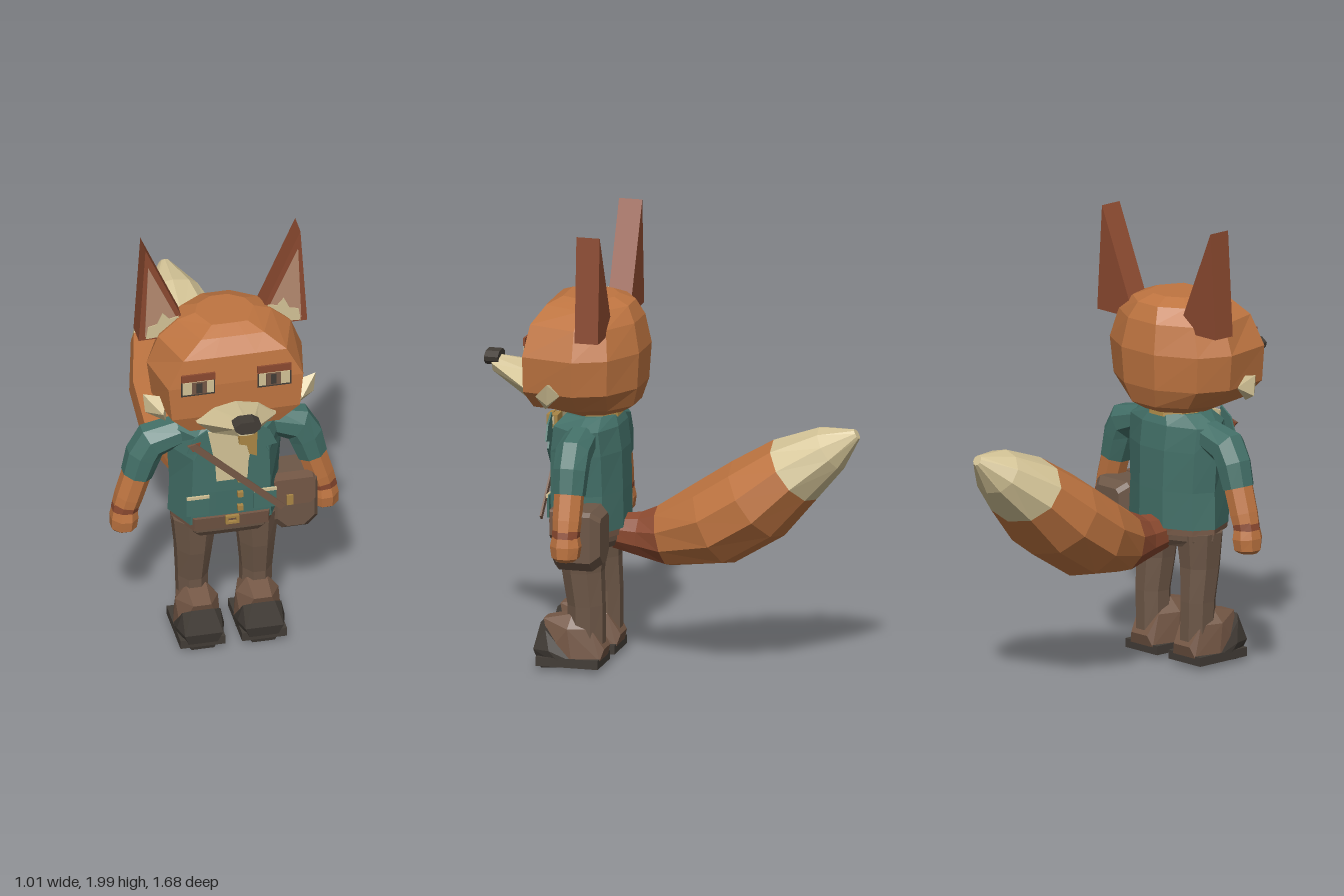
import * as THREE from 'three';
import { ConvexGeometry } from 'three/addons/geometries/ConvexGeometry.js';

const V = (x, y, z) => new THREE.Vector3(x, y, z);
const paint = (name, color) => Object.assign(new THREE.MeshStandardMaterial({ color }), { name });

// Closed flat-shaded skin through equal-sized rings of points, always facing outwards
function loft(rings) {
  const pos = [];
  let volume = 0;
  const tri = (a, b, c) => {
    pos.push([a, b, c]);
    volume += a.clone().sub(rings[0][0]).dot(b.clone().sub(rings[0][0]).cross(c.clone().sub(rings[0][0])));
  };
  const n = rings[0].length;
  for (let r = 0; r + 1 < rings.length; r++) {
    for (let i = 0; i < n; i++) {
      const j = (i + 1) % n, A = rings[r], B = rings[r + 1];
      tri(A[i], A[j], B[j]);
      tri(A[i], B[j], B[i]);
    }
  }
  const first = rings[0], last = rings[rings.length - 1];
  for (let i = 1; i + 1 < n; i++) {
    tri(first[0], first[i + 1], first[i]);
    tri(last[0], last[i], last[i + 1]);
  }
  const flat = pos.flatMap(([a, b, c]) => (volume < 0 ? [a, c, b] : [a, b, c]));
  const g = new THREE.BufferGeometry().setFromPoints(flat);
  g.computeVertexNormals();
  return g;
}

// Horizontal ring with a flat front: height, half width, front z, back z, half width of the front
function flatFrontRing([y, rx, zf, zb, fw]) {
  const zm = zb + (zf - zb) * 0.5;
  const half = [[fw * 0.4, zf], [fw, zf - 0.002], [rx, zm], [rx * 0.81, zb + (zf - zb) * 0.2], [rx * 0.3, zb]];
  return [...half.map(([x, z]) => V(x, y, z)), ...half.reverse().map(([x, z]) => V(-x, y, z))];
}

// Rings across a path of [x, y, z, radius along axis, radius across axis]
function pathRings(path, axis, sides) {
  const c = path.map((p) => V(p[0], p[1], p[2]));
  return path.map((p, k) => {
    const t = c[Math.min(k + 1, c.length - 1)].clone().sub(c[Math.max(k - 1, 0)]).normalize();
    const v = t.cross(axis).normalize();
    return Array.from({ length: sides }, (_, i) => {
      const a = ((i + 0.5) / sides) * Math.PI * 2;
      return c[k].clone().addScaledVector(axis, Math.cos(a) * p[3]).addScaledVector(v, Math.sin(a) * p[4]);
    });
  });
}

export function createModel() {
  const model = new THREE.Group();
  model.name = 'foxTraveller';
  const fur = paint('orange fur', 0xbf7541), rust = paint('rust fur', 0x8c4a30);
  const cream = paint('cream fur', 0xd3c396), teal = paint('teal jacket', 0x437068);
  const cloth = paint('brown trousers', 0x6d5747), leather = paint('leather', 0x755846);
  const dark = paint('dark boots and nose', 0x423c36), gold = paint('gold', 0xa98645);
  const earPink = paint('inner ear', 0xb58a70);

  const add = (name, geometry, material) => {
    const m = new THREE.Mesh(geometry, material);
    m.name = name;
    model.add(m);
    return m;
  };
  const hull = (name, mat, pts) => add(name, new ConvexGeometry(pts.map((p) => V(...p))), mat);
  const box = (name, mat, w, h, d, x, y, z) =>
    add(name, new THREE.BoxGeometry(w, h, d), mat).position.set(x, y, z);
  // Flat outline facing forwards
  const plate = (name, mat, pts, z, depth = 0.008) => {
    const shape = new THREE.Shape(pts.map(([x, y]) => new THREE.Vector2(x, y)));
    add(name, new THREE.ExtrudeGeometry(shape, { depth, bevelEnabled: false }), mat).position.z = z;
  };
  const stack = (name, mat, rows) => add(name, loft(rows.map(flatFrontRing)), mat);

  // Head
  stack('head', fur, [
    [1.15, 0.17, 0.52, 0.22, 0.09], [1.185, 0.24, 0.58, 0.165, 0.2], [1.27, 0.325, 0.605, 0.14, 0.285],
    [1.43, 0.345, 0.605, 0.13, 0.3], [1.56, 0.295, 0.588, 0.155, 0.23],
    [1.63, 0.21, 0.54, 0.19, 0.14], [1.66, 0.13, 0.48, 0.26, 0.08],
  ]);
  stack('neck', fur, [[1.08, 0.13, 0.45, 0.25, 0.08], [1.18, 0.13, 0.45, 0.25, 0.08]]);
  stack('neckerchiefCollar', gold, [[1.125, 0.145, 0.465, 0.24, 0.09], [1.15, 0.14, 0.46, 0.245, 0.09]]);

  // Muzzle and nose
  const muzzleRing = (z, w, top, mid, low) => [
    [0, top], [w * 0.55, top - (top - mid) * 0.25], [w, mid], [w * 0.62, low + (mid - low) * 0.08],
    [0, low], [-w * 0.62, low + (mid - low) * 0.08], [-w, mid], [-w * 0.55, top - (top - mid) * 0.25],
  ].map(([x, y]) => V(x, y, z));
  add('muzzle', loft([
    muzzleRing(0.56, 0.185, 1.325, 1.25, 1.165), muzzleRing(0.62, 0.175, 1.335, 1.25, 1.185),
    muzzleRing(0.81, 0.05, 1.358, 1.325, 1.285),
  ]), cream);
  hull('nose', dark, [0.78, 0.842].flatMap((z) => [-1, 1].flatMap((s) =>
    [[s * 0.03, 1.375, z], [s * 0.06, 1.355, z], [s * 0.055, 1.335, z], [s * 0.03, 1.315, z]])));

  for (const s of [1, -1]) {
    const side = s > 0 ? 'left' : 'right';
    const flip = (pts) => pts.map(([x, ...rest]) => [x * s, ...rest]);

    // Ear with inner panel and tuft
    plate(side + 'Ear', rust, flip([[0.375, 1.53], [0.345, 2], [0.14, 1.53]]), 0.24, 0.105);
    plate(side + 'InnerEar', earPink, flip([[0.348, 1.55], [0.334, 1.91], [0.175, 1.56]]), 0.345, 0.004);
    plate(side + 'EarTuft', cream,
      flip([[0.345, 1.54], [0.335, 1.6], [0.295, 1.61], [0.27, 1.665], [0.24, 1.63], [0.2, 1.64], [0.17, 1.55]]), 0.349, 0.004);

    // Cheek tuft
    hull(side + 'CheekTuft', cream, flip([[0.28, 1.31, 0.48], [0.385, 1.335, 0.47], [0.375, 1.24, 0.47],
      [0.29, 1.2, 0.5], [0.31, 1.26, 0.54], [0.31, 1.27, 0.43]]));

    // Eye and brow
    box(side + 'EyeRim', dark, 0.15, 0.085, 0.006, s * 0.17, 1.433, 0.607);
    box(side + 'EyeWhite', cream, 0.138, 0.062, 0.004, s * 0.17, 1.432, 0.612);
    box(side + 'Iris', leather, 0.066, 0.062, 0.003, s * 0.165, 1.432, 0.615);
    box(side + 'Pupil', dark, 0.026, 0.05, 0.003, s * 0.165, 1.432, 0.617);
    box(side + 'Brow', rust, 0.152, 0.035, 0.009, s * 0.17, 1.483, 0.609);

    // Arm: sleeve, forearm, wrist band, hand
    const zArm = 0.365, zAxis = V(0, 0, 1);
    const limb = (name, mat, pts) => add(side + name, loft(pathRings(flip(pts), zAxis, 8)), mat);
    limb('Sleeve', teal, [[0.2, 1.055, zArm, 0.075, 0.065], [0.325, 1.015, zArm, 0.08, 0.085],
      [0.36, 0.95, zArm, 0.078, 0.08], [0.39, 0.85, zArm, 0.072, 0.07]]);
    limb('Forearm', fur, [[0.388, 0.86, zArm, 0.066, 0.066], [0.425, 0.74, zArm, 0.064, 0.064],
      [0.44, 0.69, zArm, 0.06, 0.06]]);
    limb('WristBand', rust, [[0.437, 0.7, zArm, 0.062, 0.06], [0.445, 0.665, zArm, 0.06, 0.06]]);
    limb('Hand', fur, [[0.443, 0.675, zArm, 0.062, 0.058], [0.446, 0.635, zArm, 0.07, 0.064],
      [0.448, 0.585, zArm, 0.062, 0.06], [0.448, 0.57, zArm, 0.04, 0.045]]);

    // Trouser leg
    add(side + 'Leg', loft(pathRings(flip([[0.137, 0.61, 0.37, 0.105, 0.11], [0.14, 0.45, 0.37, 0.085, 0.095],
      [0.143, 0.3, 0.355, 0.072, 0.085], [0.14, 0.12, 0.355, 0.07, 0.085]]), V(1, 0, 0), 8)), cloth);

    // Boot: ankle, toe, sole
    const both = (y, z, w) => [[s * 0.135 - w, y, z], [s * 0.135 + w, y, z]];
    hull(side + 'BootAnkle', leather, [...both(0.06, 0.28, 0.07), ...both(0.11, 0.265, 0.05), ...both(0.2, 0.32, 0.065),
      ...both(0.26, 0.41, 0.045), ...both(0.2, 0.42, 0.095), ...both(0.23, 0.54, 0.04), ...both(0.06, 0.4, 0.1),
      ...both(0.1, 0.5, 0.09)]);
    hull(side + 'BootToe', dark, [...both(0.06, 0.4, 0.1), ...both(0.215, 0.55, 0.05), ...both(0.19, 0.52, 0.085),
      ...both(0.1, 0.575, 0.085), ...both(0.1, 0.5, 0.105), ...both(0.01, 0.55, 0.05), ...both(0.03, 0.44, 0.1)]);
    box(side + 'BootSole', dark, 0.2, 0.04, 0.28, s * 0.137, 0.05, 0.42);

    // Lapel and pocket
    plate(side + 'Lapel', teal, flip([[0.11, 1.14], [0.17, 1.1], [0.2, 1.03], [0.15, 1.02], [0.165, 0.99],
      [0.07, 0.86], [0.075, 0.95]]), 0.52);
    plate(side + 'Pocket', teal, flip([[0.1, 0.69], [0.2, 0.69], [0.2, 0.79], [0.1, 0.79]]), 0.508, 0.009);
    box(side + 'PocketTrim', cream, 0.1, 0.014, 0.009, s * 0.15, 0.785, 0.518);
  }

  // Trousers and belt
  stack('hips', cloth, [[0.55, 0.22, 0.47, 0.25, 0.13], [0.58, 0.235, 0.49, 0.23, 0.15], [0.66, 0.235, 0.5, 0.22, 0.16]]);
  stack('belt', leather, [[0.605, 0.238, 0.51, 0.218, 0.165], [0.672, 0.238, 0.522, 0.216, 0.165]]);
  const buckle = new THREE.Shape().moveTo(-0.03, 0.64).lineTo(0.03, 0.64).lineTo(0.03, 0.68).lineTo(-0.03, 0.68);
  buckle.holes.push(new THREE.Path().moveTo(-0.018, 0.65).lineTo(-0.018, 0.67).lineTo(0.018, 0.67).lineTo(0.018, 0.65));
  add('beltBuckle', new THREE.ExtrudeGeometry(buckle, { depth: 0.015, bevelEnabled: false }), gold).position.z = 0.523;

  // Jacket and shirt
  stack('jacket', teal, [
    [0.635, 0.25, 0.505, 0.208, 0.18], [0.8, 0.243, 0.512, 0.21, 0.175], [0.98, 0.255, 0.512, 0.215, 0.17],
    [1.09, 0.262, 0.505, 0.23, 0.15], [1.14, 0.16, 0.46, 0.25, 0.11],
  ]);
  plate('shirtFront', cream, [[-0.115, 1.12], [0.115, 1.12], [0.08, 0.95], [0.07, 0.86], [-0.07, 0.86], [-0.08, 0.95]], 0.511);
  plate('neckerchief', gold, [[0.02, 1.13], [0.11, 1.13], [0.108, 0.98], [0.075, 0.995], [0.065, 1.04], [0.03, 1.05]], 0.526);
  box('neckerchiefKnot', gold, 0.08, 0.055, 0.05, 0.068, 1.1, 0.522);
  plate('lapelPatch', rust, [[-0.2, 1.075], [-0.14, 1.085], [-0.15, 1.05], [-0.175, 1.04]], 0.529, 0.004);
  for (const y of [0.86, 0.78, 0.71]) box('button', gold, 0.025, 0.025, 0.02, 0.038, y, 0.52);

  // Satchel and its strap
  plate('satchelStrap', leather, [[-0.2, 1.075], [-0.165, 1.085], [0.235, 0.705], [0.215, 0.685]], 0.534);
  const satchelRings = (x0, x1, y0, y1, c) => (z, inset) => {
    const a = x0 + inset, b = x1 - inset, l = y0 + inset, t = y1 - inset;
    return [[a + c, l], [b - c, l], [b, l + c], [b, t - c * 0.4], [b - c * 0.4, t], [a + c * 0.4, t], [a, t - c * 0.4], [a, l + c]]
      .map(([x, y]) => V(x, y, z));
  };
  const bag = satchelRings(0.2, 0.405, 0.505, 0.775, 0.045);
  add('satchel', loft([bag(0.23, 0.03), bag(0.27, 0), bag(0.42, 0), bag(0.445, 0.02)]), cloth);
  const flap = satchelRings(0.2, 0.39, 0.64, 0.78, 0.02);
  add('satchelFlap', loft([flap(0.4, 0), flap(0.456, 0.004)]), leather);
  box('satchelClasp', gold, 0.03, 0.05, 0.012, 0.272, 0.675, 0.46);

  // Tail in three colours
  const tail = pathRings([
    [0, 0.6, 0.26, 0.085, 0.08], [0, 0.592, 0.15, 0.1, 0.1], [0, 0.592, 0.045, 0.135, 0.135],
    [0, 0.67, -0.19, 0.245, 0.195], [0, 0.79, -0.38, 0.26, 0.198], [0, 0.93, -0.545, 0.215, 0.16],
    [0, 1.04, -0.71, 0.125, 0.105], [0, 1.11, -0.825, 0.022, 0.024],
  ], V(1, 0, 0), 10);
  add('tailBase', loft(tail.slice(0, 3)), rust);
  add('tailMiddle', loft(tail.slice(2, 6)), fur);
  add('tailTip', loft(tail.slice(5)), cream);

  return model;
}
